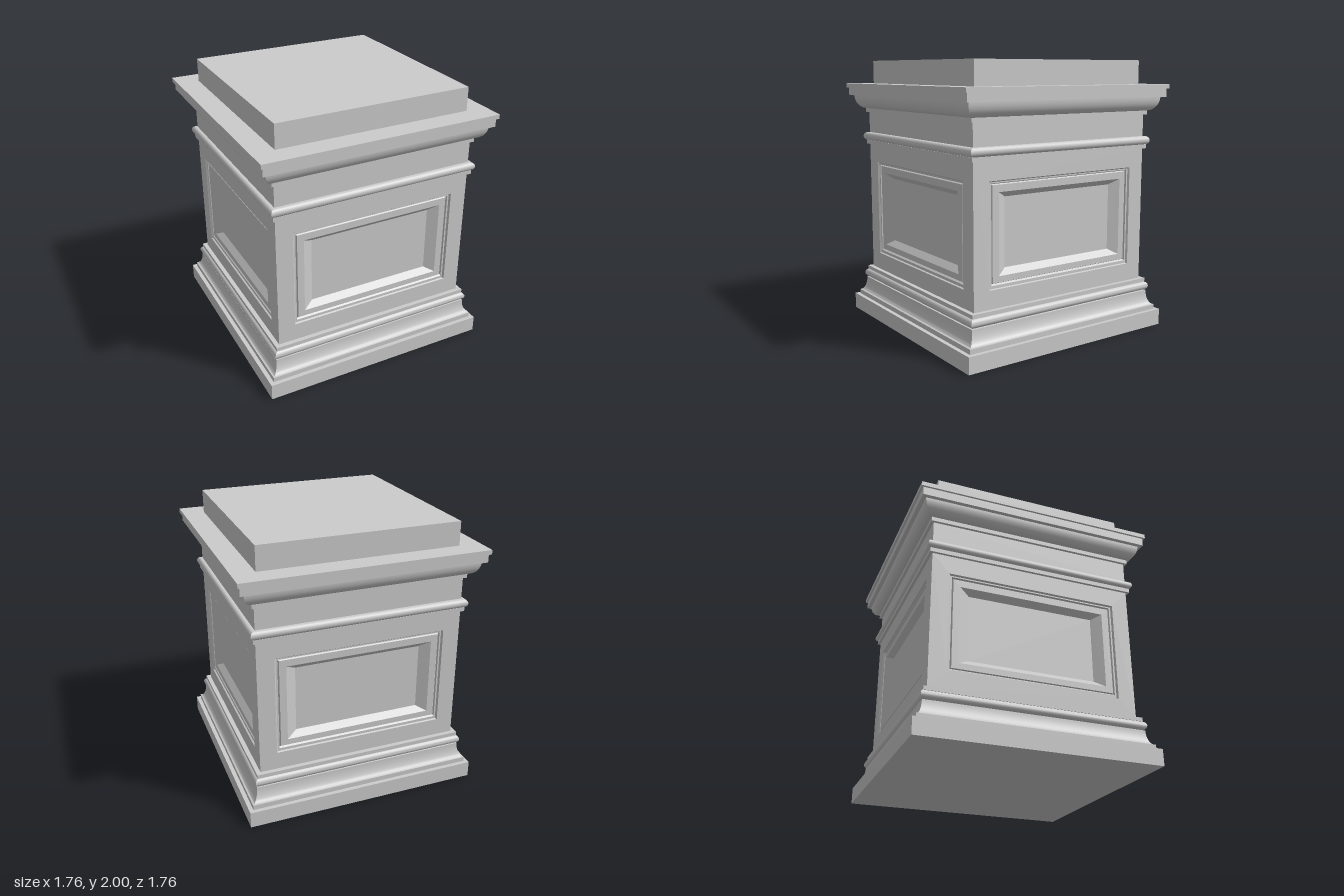
import * as THREE from 'three';
import { toCreasedNormals } from 'three/addons/utils/BufferGeometryUtils.js';

const material = new THREE.MeshStandardMaterial({ color: 0xcccccc });

// Sweep a [halfWidth, y] profile around a square plan with mitred corners.
function squareSweep(name, profile) {
  const points = profile.map(([w, y]) => new THREE.Vector2(w * Math.SQRT2, y));
  const lathe = new THREE.LatheGeometry(points, 4, Math.PI / 4);
  const mesh = new THREE.Mesh(toCreasedNormals(lathe, 0.5), material);
  mesh.name = name;
  return mesh;
}

// Elliptical arc of profile points, angles in degrees.
function arc(cx, cy, rx, ry, from, to, steps = 10) {
  return Array.from({ length: steps + 1 }, (_, i) => {
    const a = THREE.MathUtils.degToRad(from + ((to - from) * i) / steps);
    return [cx + rx * Math.cos(a), cy + ry * Math.sin(a)];
  });
}

// Join nested rectangles [halfWidth, bottom, top, z] into mitred bands and close the middle.
function nestedPanel(rings) {
  const corners = ([w, b, t, z]) => [[-w, b, z], [w, b, z], [w, t, z], [-w, t, z]];
  const positions = [];
  const quad = (a, b, c, d) => positions.push(...a, ...b, ...c, ...a, ...c, ...d);
  for (let r = 0; r < rings.length - 1; r++) {
    const outer = corners(rings[r]);
    const inner = corners(rings[r + 1]);
    for (let i = 0; i < 4; i++) {
      const j = (i + 1) % 4;
      quad(outer[i], outer[j], inner[j], inner[i]);
    }
  }
  quad(...corners(rings[rings.length - 1]));
  const geometry = new THREE.BufferGeometry();
  geometry.setAttribute('position', new THREE.Float32BufferAttribute(positions, 3));
  geometry.computeVertexNormals();
  return geometry;
}

export function createModel() {
  const pedestal = new THREE.Group();
  pedestal.name = 'pedestal';

  // Plinth, flared foot, bead and fillet
  pedestal.add(squareSweep('base', [
    [0, 0], [0.865, 0], [0.865, 0.12], [0.835, 0.12], [0.835, 0.155],
    ...arc(0.835, 0.265, 0.045, 0.11, 255, 180),
    [0.775, 0.268],
    ...arc(0.772, 0.3, 0.03, 0.032, -90, 90),
    [0.782, 0.332], [0.782, 0.36], [0.75, 0.36],
  ]));

  // Four walls, each with a grooved frame and a bevelled sunken panel
  const wall = nestedPanel([
    [0.75, 0.36, 1.355, 0.75],
    [0.625, 0.49, 1.22, 0.75],
    [0.615, 0.495, 1.212, 0.738],
    [0.603, 0.515, 1.203, 0.738],
    [0.598, 0.525, 1.197, 0.725],
    [0.59, 0.53, 1.19, 0.735],
    [0.54, 0.573, 1.14, 0.735],
    [0.465, 0.615, 1.1, 0.695],
  ]);
  for (const [i, side] of ['front', 'left', 'back', 'right'].entries()) {
    const mesh = new THREE.Mesh(wall, material);
    mesh.name = `${side}PanelledWall`;
    mesh.rotation.y = (i * Math.PI) / 2;
    pedestal.add(mesh);
  }

  // Beaded band and plain frieze
  pedestal.add(squareSweep('beadedFrieze', [
    [0.75, 1.355], [0.77, 1.355], [0.77, 1.385],
    ...arc(0.76, 1.415, 0.028, 0.031, -90, 90),
    [0.75, 1.446], [0.75, 1.605],
  ]));

  // Cornice with rounded moulding under a stepped shelf
  pedestal.add(squareSweep('cornice', [
    [0.75, 1.605], [0.77, 1.605], [0.77, 1.635],
    ...arc(0.765, 1.735, 0.07, 0.1, -80, 0),
    [0.865, 1.735], [0.865, 1.795], [0.88, 1.795], [0.88, 1.827], [0.72, 1.827],
  ]));

  // Top block
  pedestal.add(squareSweep('topBlock', [[0.72, 1.827], [0.72, 2], [0, 2]]));

  return pedestal;
}
